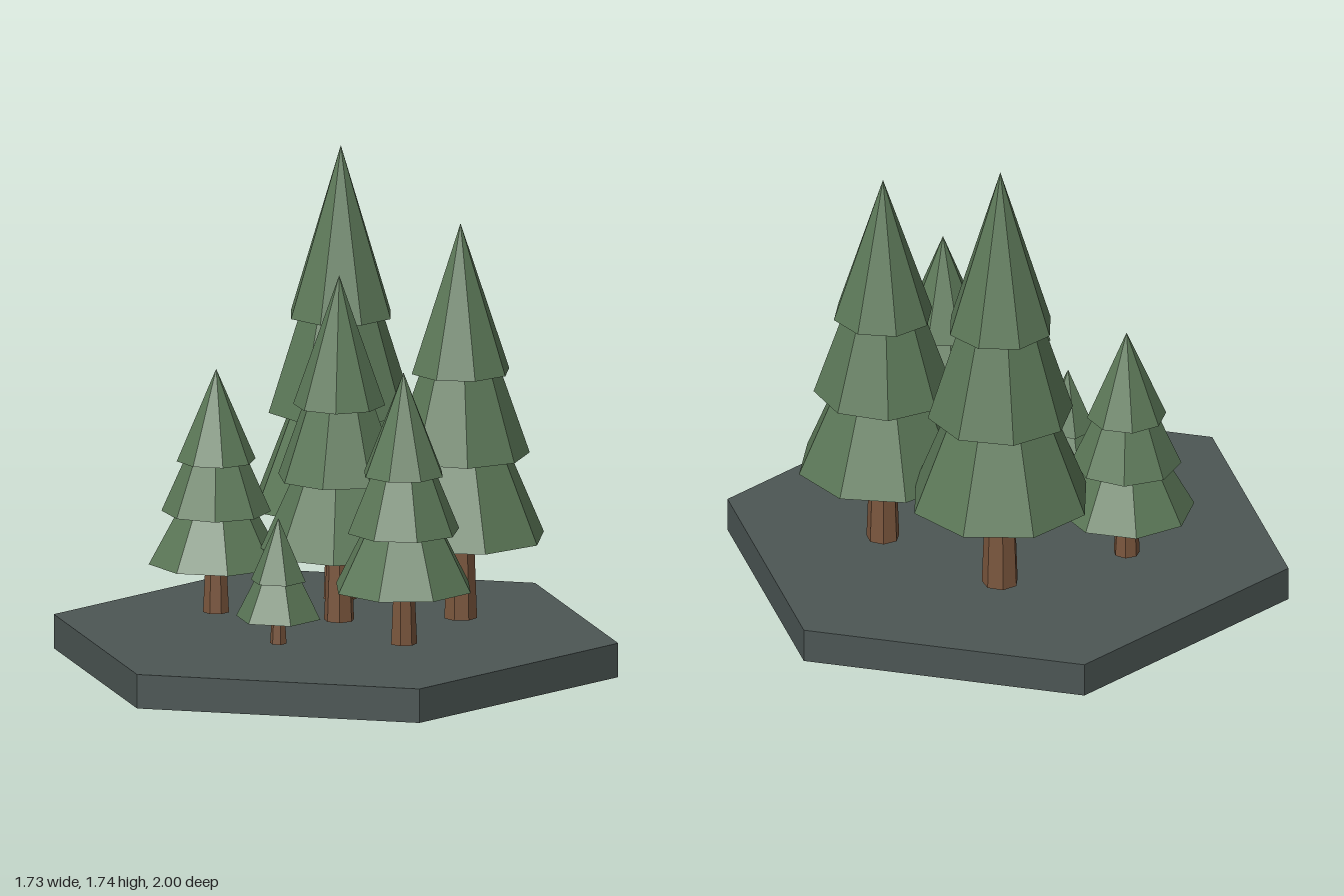
import * as THREE from 'three';

const flat = (name, color) => {
  const m = new THREE.MeshStandardMaterial({ color, flatShading: true });
  m.name = name;
  return m;
};

// Upright prism, frustum or cone standing on height y
function frustum(name, rTop, rBottom, height, sides, y, material) {
  const mesh = new THREE.Mesh(new THREE.CylinderGeometry(rTop, rBottom, height, sides), material);
  mesh.name = name;
  mesh.position.y = y + height / 2;
  return mesh;
}

// x, z, apex height, bottom branch radius, trunk radius, turn in degrees
const TREES = [
  { x: -0.26, z: -0.3, top: 1.74, r: 0.318, trunk: 0.064, turn: 24 },
  { x: 0.26, z: -0.35, top: 1.535, r: 0.3, trunk: 0.058, turn: 30 },
  { x: -0.018, z: -0.035, top: 1.36, r: 0.272, trunk: 0.053, turn: 6 },
  { x: 0.4, z: 0.085, top: 1.1, r: 0.247, trunk: 0.047, turn: 22 },
  { x: -0.417, z: 0.16, top: 1.0, r: 0.236, trunk: 0.046, turn: 37 },
  { x: 0.085, z: 0.38, top: 0.585, r: 0.149, trunk: 0.029, turn: 0, small: true },
];
const GROUND = 0.143;

function createTree({ x, z, top, r, trunk, turn, small }, bark, needles) {
  const tree = new THREE.Group();
  tree.name = 'tree';
  tree.position.set(x, 0, z);
  tree.rotation.y = THREE.MathUtils.degToRad(-turn);
  const h = top - GROUND;

  tree.add(frustum('trunk', trunk * 0.75, trunk, h * 0.28, small ? 6 : 7, GROUND, bark));

  // Overlapping skirts of branches, the last one pointed
  const ratios = small ? [1, 0.65] : [1, 0.8, 0.585];
  const step = small ? 0.295 : 0.21;
  const last = ratios.length - 1;
  const tierHeight = h * (1 - 0.205 - step * last);
  ratios.forEach((k, i) => {
    const tier = frustum('branchTier', i === last ? 0 : r * k * 0.25, r * k, tierHeight,
      small ? 6 : 8, GROUND + h * (0.205 + step * i), needles);
    if (i === 1 && !small) tier.rotation.y = -0.19;
    tree.add(tier);
  });
  return tree;
}

export function createModel() {
  const model = new THREE.Group();
  model.name = 'forestTile';
  const stone = flat('slate', 0x4c5654);
  const bark = flat('bark', 0x7a563d);
  const needles = flat('needles', 0x5c7858);

  // Hexagonal tile with corners to the front and back
  model.add(frustum('hexBase', 1, 1, 0.12, 6, 0, stone));

  for (const t of TREES) model.add(createTree(t, bark, needles));
  return model;
}
